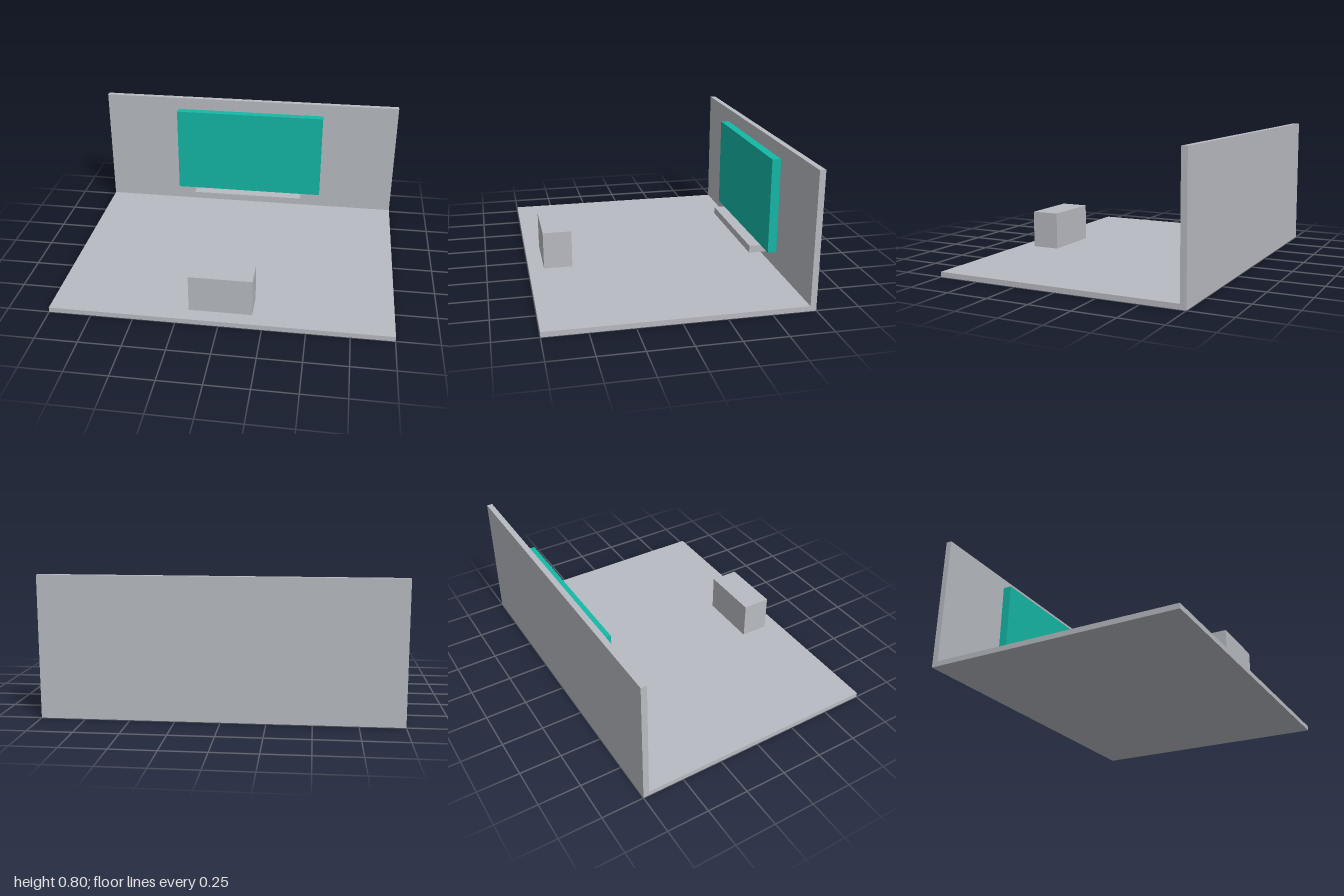
import * as THREE from 'three';

export function createModel() {
  const group = new THREE.Group();
  const grey = new THREE.MeshStandardMaterial({ color: 0xb8bbc1 });
  grey.name = 'light grey';
  const teal = new THREE.MeshStandardMaterial({ color: 0x14b8a6 });
  teal.name = 'teal';

  // Box centred on x, given its width and its y and z ranges
  function addBox(name, material, width, [y0, y1], [z0, z1]) {
    const mesh = new THREE.Mesh(new THREE.BoxGeometry(width, y1 - y0, z1 - z0), material);
    mesh.position.set(0, (y0 + y1) / 2, (z0 + z1) / 2);
    mesh.name = name;
    group.add(mesh);
  }

  // Room shell
  addBox('floor', grey, 2, [0, 0.03], [-0.715, 0.75]);
  addBox('backWall', grey, 2, [0, 0.8], [-0.75, -0.715]);

  // Screen with its rear plate, and the shelf beneath it
  addBox('screen', teal, 1, [0.15, 0.725], [-0.7, -0.647]);
  addBox('screenRearPlate', grey, 0.82, [0.285, 0.64], [-0.704, -0.7]);
  addBox('shelf', grey, 0.746, [0.105, 0.15], [-0.682, -0.576]);

  // Free-standing block near the front edge
  addBox('frontBlock', grey, 0.372, [0.03, 0.257], [0.486, 0.658]);

  return group;
}
